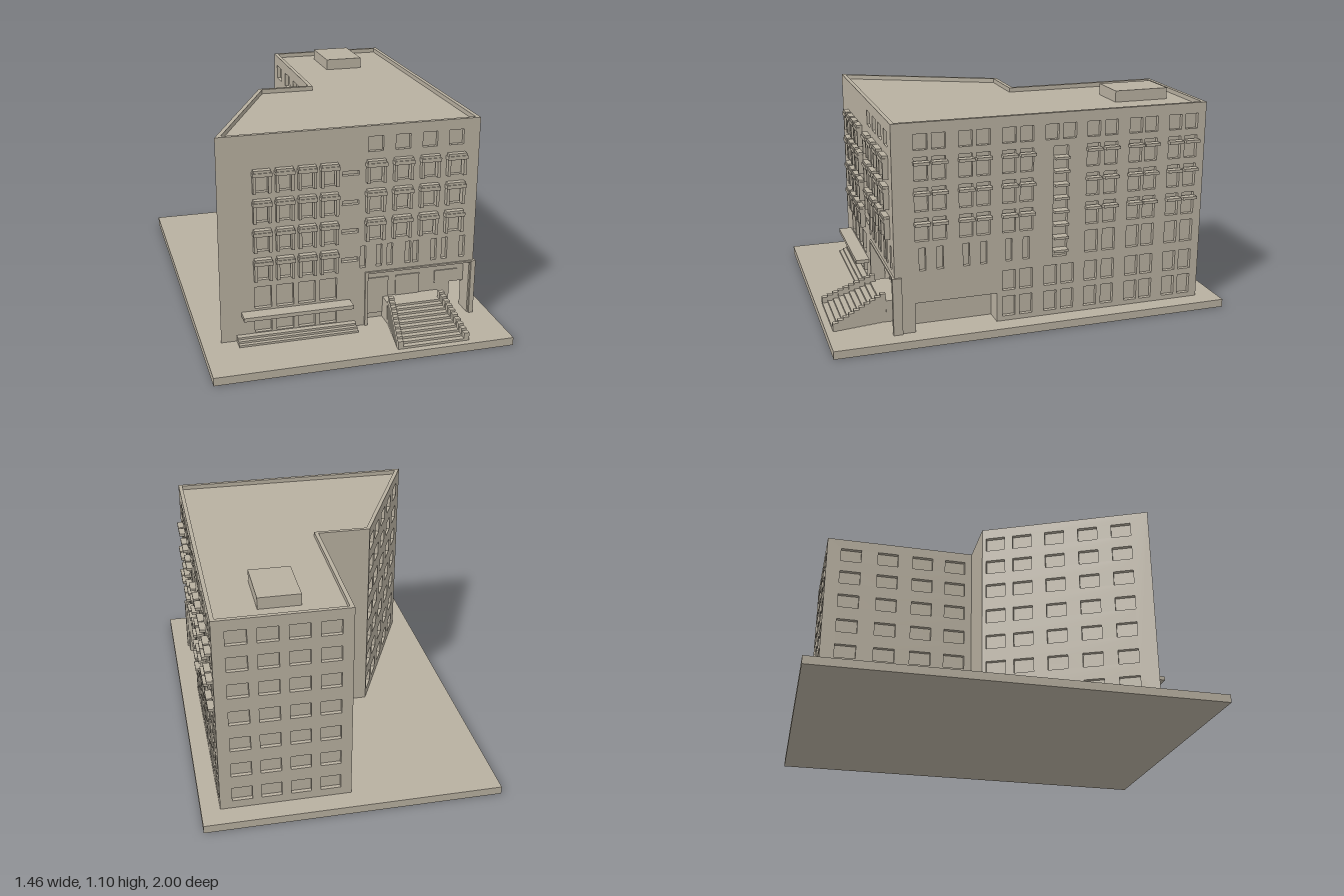
import * as THREE from 'three';

const T = 0.02;          // wall thickness
const GROUND = 0.04, TOP = 1.062, ROOF = 1.04;

// Building footprint as [x, z], in order front-left, front-right, back...
const PLAN = [[-0.638, 0.688], [0.638, 0.688], [0.638, -0.893], [0, -0.893], [0, -0.1], [-0.265, -0.1]];

const rect = (c, w, y0, y1) => [c - w / 2, c + w / 2, y0, y1];

export function createModel() {
  const model = new THREE.Group();
  const stone = new THREE.MeshStandardMaterial({ color: 0xb8b0a0 });
  stone.name = 'stone';

  const add = (name, geo, parent = model) => {
    const m = new THREE.Mesh(geo, stone);
    m.name = name;
    parent.add(m);
    return m;
  };
  const box = (name, x0, x1, y0, y1, z0, z1, parent) =>
    add(name, new THREE.BoxGeometry(x1 - x0, y1 - y0, z1 - z0), parent)
      .position.set((x0 + x1) / 2, (y0 + y1) / 2, (z0 + z1) / 2);
  const group = (name) => {
    const g = new THREE.Group();
    g.name = name;
    model.add(g);
    return g;
  };

  box('basePlate', -0.73, 0.73, 0, GROUND, -1, 1);

  // Edge directions and mitre offsets of the footprint
  const n = PLAN.length;
  const edges = PLAN.map((a, i) => {
    const b = PLAN[(i + 1) % n];
    const len = Math.hypot(b[0] - a[0], b[1] - a[1]);
    return { a, len, dx: (b[0] - a[0]) / len, dz: (b[1] - a[1]) / len };
  });
  edges.forEach((e, i) => {
    const p = edges[(i + n - 1) % n];
    const turn = Math.atan2(p.dz * e.dx - p.dx * e.dz, p.dx * e.dx + p.dz * e.dz);
    e.mitre = T * Math.tan(turn / 2);
  });
  const inset = edges.map((e) => [e.a[0] + e.dx * e.mitre + e.dz * T, e.a[1] + e.dz * e.mitre - e.dx * T]);

  // Wall slab with window openings, mitred at both ends
  function wall(name, i, openings) {
    const e = edges[i], endMitre = edges[(i + 1) % n].mitre;
    const y0 = GROUND - 0.01;
    const s = new THREE.Shape([[0, y0], [e.len, y0], [e.len, TOP], [0, TOP]].map((p) => new THREE.Vector2(...p)));
    for (const [u0, u1, v0, v1] of openings) {
      s.holes.push(new THREE.Path([[u0, v0], [u0, v1], [u1, v1], [u1, v0]].map((p) => new THREE.Vector2(...p))));
    }
    const g = new THREE.ExtrudeGeometry(s, { depth: T, bevelEnabled: false });
    g.translate(0, 0, -T);
    const p = g.attributes.position;
    for (let k = 0; k < p.count; k++) {
      if (p.getZ(k) > -T / 2) continue;
      if (p.getX(k) < 1e-5) p.setX(k, e.mitre);
      else if (p.getX(k) > e.len - 1e-5) p.setX(k, e.len - endMitre);
    }
    g.computeVertexNormals();
    const m = add(name, g);
    m.position.set(e.a[0], 0, e.a[1]);
    m.rotation.y = Math.atan2(-e.dz, e.dx);
  }

  // Solid core layer that closes the openings from behind
  function core(name, pts, y0, y1) {
    const s = new THREE.Shape(pts.map(([x, z]) => new THREE.Vector2(x, -z)));
    const g = new THREE.ExtrudeGeometry(s, { depth: y1 - y0, bevelEnabled: false });
    g.rotateX(-Math.PI / 2);
    add(name, g).position.y = y0;
  }
  const IN = 0.618, RZ = 0.62;   // inner right face, back of the porch
  const rest = inset.slice(2);
  const porch = [inset[0], [0.088, inset[0][1]], [0.088, RZ]];
  core('upperCore', inset, 0.32, ROOF);
  core('porchCore', [...porch, [IN, RZ], ...rest], 0.187, 0.32);
  core('passageCore', [...porch, [0.545, RZ], [0.545, 0.187], [IN, 0.187], ...rest], GROUND - 0.01, 0.187);

  // Front wall
  const leftCols = [-0.43, -0.322, -0.215, -0.108];
  const rightCols = [0.119, 0.253, 0.387, 0.52];
  const rows = [[0.787, 0.899], [0.64, 0.754], [0.494, 0.607], [0.347, 0.46]];
  const front = [];
  const surrounds = group('frontWindowSurrounds');
  const surround = (x, half, [y0, y1]) => {
    const z0 = 0.68, z1 = 0.72;
    box('hood', x - half, x + half, y1 - 0.03, y1 - 0.012, z0, z1, surrounds);
    box('hoodTop', x - half + 0.005, x + half - 0.005, y1 - 0.012, y1, z0, z1 - 0.004, surrounds);
    for (const s of [-1, 1]) {
      const c = x + s * (half - 0.01);
      box('jamb', c - 0.007, c + 0.007, y0, y1 - 0.03, z0, z1 - 0.006, surrounds);
    }
  };
  for (const x of leftCols) {
    for (const r of rows) {
      front.push(rect(x, 0.07, r[0], r[1] - 0.02));
      surround(x, 0.046, r);
    }
    front.push(rect(x, 0.083, 0.2, 0.311), rect(x, 0.083, 0.075, 0.165));
  }
  for (const x of rightCols) {
    front.push(rect(x, 0.073, 0.937, 1.01));
    for (const r of rows.slice(0, 3)) {
      front.push(rect(x, 0.08, r[0], r[1] - 0.02));
      surround(x, 0.05, r);
    }
  }
  for (const x of [0.064, 0.146, 0.2, 0.293, 0.333, 0.426, 0.482, 0.574]) front.push(rect(x, 0.028, 0.35, 0.463));
  for (const y of [0.839, 0.692, 0.547, 0.399]) front.push(rect(-0.002, 0.082, y - 0.011, y + 0.011));
  front.push([0.088, IN, GROUND, 0.32]);
  wall('frontWall', 0, front.map(([a, b, c, d]) => [a + 0.638, b + 0.638, c, d]));

  // Right side wall, with hoods across the upper windows
  const cols = [0.552, 0.466, 0.338, 0.252, 0.126, 0.038, -0.088, -0.177, -0.3, -0.391, -0.52, -0.602, -0.73, -0.817];
  const side = [];
  const hoods = group('sideHoods');
  cols.forEach((z, i) => {
    const mid = i === 6 || i === 7;
    side.push(rect(z, 0.066, 0.933, 1.008));
    if (!mid) {
      for (const [y0, y1] of rows.slice(0, 3)) {
        side.push(rect(z, 0.066, y0, y1));
        box('hood', 0.63, 0.665, y1 - 0.033, y1 - 0.019, z - 0.038, z + 0.038, hoods);
      }
      side.push(rect(z, i < 6 ? 0.032 : 0.066, 0.348, 0.461));
    }
    if (i > 3) side.push(rect(z, 0.066, 0.198, 0.3), rect(z, 0.066, 0.064, 0.166));
  });
  side.push(rect(-0.134, 0.074, 0.343, 0.9));          // stairwell strip
  for (let k = 0; k < 8; k++) {
    const y = 0.377 + k * 0.0667;
    box('stairwellLedge', 0.612, 0.665, y - 0.006, y + 0.006, -0.171, -0.097, hoods);
  }
  side.push([0.187, 0.59, GROUND, 0.187]);             // open passage
  wall('rightWall', 1, side.map(([a, b, c, d]) => [0.688 - b, 0.688 - a, c, d]));

  // Back, courtyard and slanted walls share a plain window grid
  const grid = (us, w) => us.flatMap((u) =>
    [0.97, 0.835, 0.695, 0.55, 0.405, 0.26, 0.118].map((y) => rect(u, w, y - 0.037, y + 0.037)));
  wall('backWall', 2, grid([0.108, 0.25, 0.393, 0.536], 0.098));
  wall('courtWall', 3, grid([0.13, 0.33, 0.52, 0.7], 0.11));
  wall('notchWall', 4, []);
  wall('slantedWall', 5, grid([0.07, 0.212, 0.383, 0.557, 0.73], 0.1));

  box('roofHatch', 0.217, 0.418, ROOF - 0.01, 1.097, -0.786, -0.505);

  // Porch frame, door and windows
  box('porchLeftJamb', 0.076, 0.09, GROUND, 0.325, 0.66, 0.697);
  box('porchLintel', 0.076, 0.648, 0.316, 0.325, 0.66, 0.697);
  box('cornerPost', 0.625, 0.648, GROUND, 0.325, 0.655, 0.7);
  box('entranceDoor', 0.257, 0.381, 0.15, 0.257, RZ - 0.01, RZ + 0.006);
  box('porchWindowLeft', 0.098, 0.218, 0.066, 0.257, RZ - 0.01, RZ + 0.006);
  box('porchWindowRight', 0.463, 0.584, 0.19, 0.257, RZ - 0.01, RZ + 0.006);

  // Entrance stair widening towards the ground, with stepped side walls
  const stair = group('entranceStair');
  box('landing', 0.19, 0.48, GROUND, 0.15, RZ - 0.01, 0.7, stair);
  const N = 10, X = 0.335;
  for (let i = 0; i < N; i++) {
    const z0 = 0.7 + i * 0.0267, z1 = z0 + 0.0267;
    const y = 0.15 - i * 0.011, half = 0.118 + 0.036 * (i / (N - 1));
    box('step', X - half, X + half, GROUND - 0.005, y, z0, z1, stair);
    for (const s of [-1, 1]) {
      const c = X + s * (half + 0.012);
      box('cheek', c - 0.013, c + 0.013, GROUND - 0.005, y + 0.036 - i * 0.0008, z0, z1, stair);
    }
  }

  // Canopy and long low steps at the left of the front
  box('canopy', -0.537, 0, 0.17, 0.189, 0.68, 0.757);
  for (let i = 0; i < 3; i++) {
    box('lowStep', -0.562, 0.026, GROUND - 0.005, 0.05 + i * 0.01, 0.68, 0.757 - i * 0.02);
  }
  return model;
}
